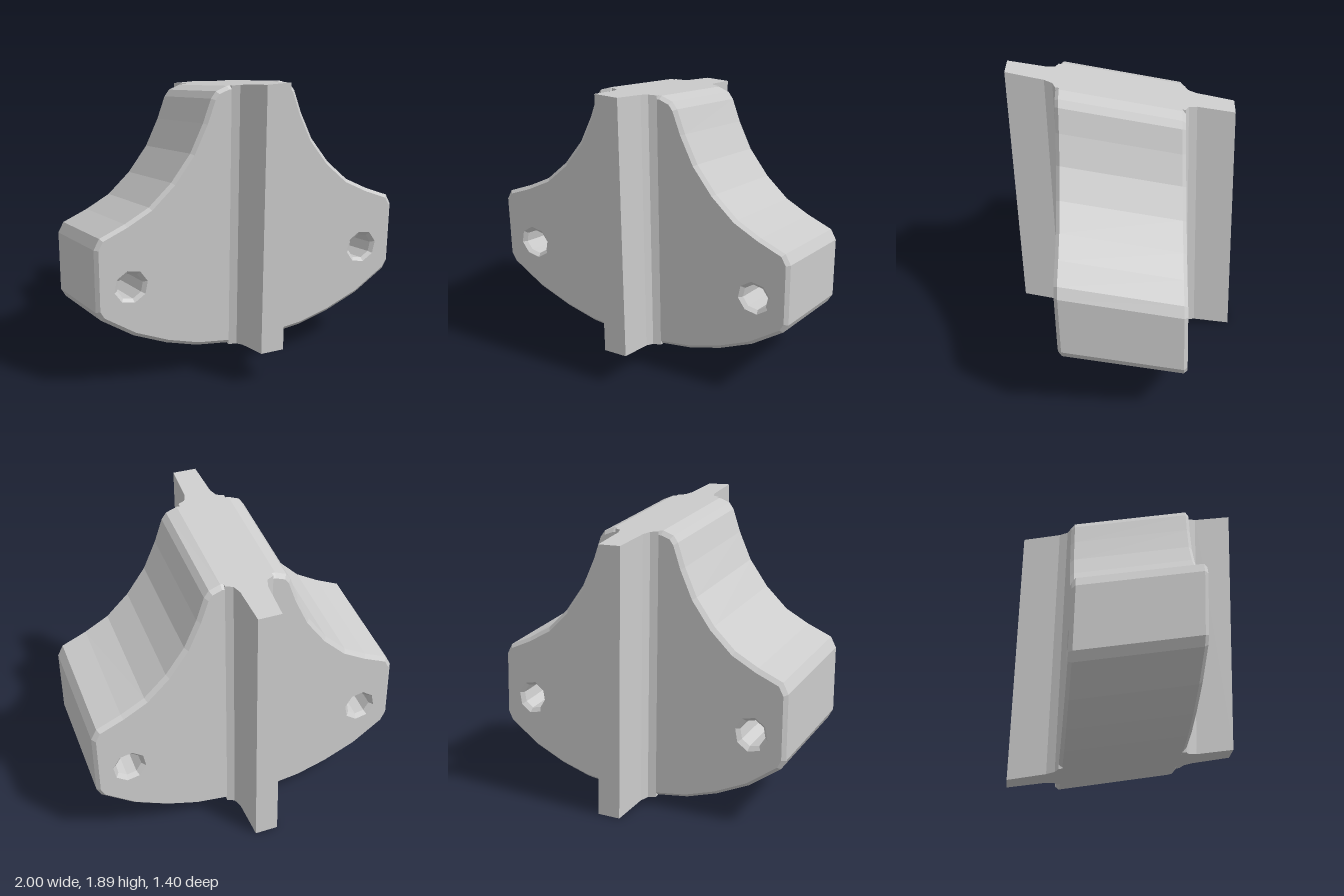
import * as THREE from 'three';

const BOTTOM = 0.119, TOP = 1.755;

// Leans a straight part: it climbs towards the front and its end faces tip slightly forward
function lean(geometry) {
  const p = geometry.attributes.position;
  for (let i = 0; i < p.count; i++) {
    const y = p.getY(i);
    const z = p.getZ(i) + 0.024 * (y - 0.94);
    p.setXYZ(i, p.getX(i), y + z * (0.169 + 0.01 * y), z);
  }
  geometry.computeVertexNormals();
  return geometry;
}

const mirrored = (half) => [
  ...half,
  ...half.slice().reverse().map(([x, y]) => [-x, y]),
].map(([x, y]) => new THREE.Vector2(x, y));

export function createModel() {
  const group = new THREE.Group();
  const material = new THREE.MeshStandardMaterial({ color: 0xcccccc, flatShading: true });
  const add = (name, geometry) => {
    const mesh = new THREE.Mesh(lean(geometry), material);
    mesh.name = name;
    group.add(mesh);
  };

  // Bell-shaped body with chamfered edges and two through holes
  const outline = new THREE.Shape(mirrored([
    [0.1, BOTTOM], [0.36, 0.152], [0.56, 0.21], [0.77, 0.3], [0.97, 0.435],
    [1, 0.49], [1, 0.88], [0.965, 0.945], [0.81, 1.01], [0.66, 1.09],
    [0.52, 1.22], [0.4, 1.38], [0.32, 1.55], [0.27, 1.69], [0.24, 1.73], [0.17, TOP],
  ]));
  for (const side of [-1, 1]) {
    const ring = [];
    for (let i = 0; i < 8; i++) {
      const a = (i / 8) * Math.PI * 2 + 0.2;
      ring.push(new THREE.Vector2(side * 0.785 + 0.082 * Math.cos(a), 0.62 + 0.082 * Math.sin(a)));
    }
    outline.holes.push(new THREE.Path(ring));
  }
  const half = 0.38, bevel = 0.022;
  const body = new THREE.ExtrudeGeometry(outline, {
    depth: 2 * (half - bevel), bevelEnabled: true, bevelSegments: 1,
    bevelSize: bevel, bevelThickness: bevel, bevelOffset: -bevel,
  });
  body.translate(0, 0, -(half - bevel));
  add('body', body);

  // Upright ribs on the front and back, flaring into the body
  for (const [name, dir] of [['frontRib', 1], ['backRib', -1]]) {
    const plan = mirrored([
      [0.15, 0.355], [0.15, 0.38], [0.105, 0.4], [0.085, 0.45], [0.074, 0.68],
    ]).map((v) => new THREE.Vector2(v.x, -dir * v.y));
    const rib = new THREE.ExtrudeGeometry(new THREE.Shape(plan), { depth: TOP - BOTTOM, bevelEnabled: false });
    rib.rotateX(-Math.PI / 2).translate(0, BOTTOM, 0);
    add(name, rib);
  }

  return group;
}
